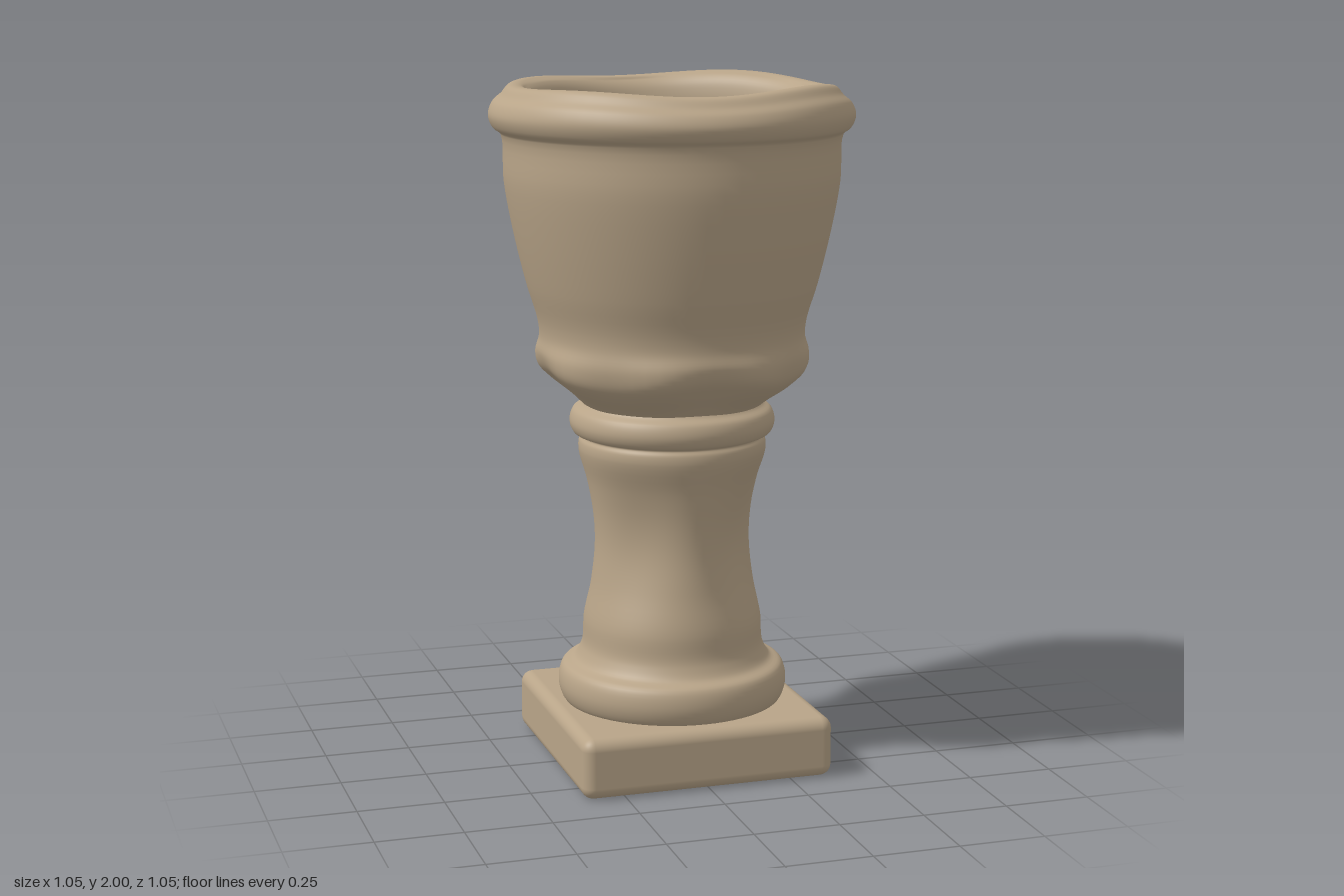
import * as THREE from 'three';
import { mergeVertices } from 'three/addons/utils/BufferGeometryUtils.js';
import { RoundedBoxGeometry } from 'three/addons/geometries/RoundedBoxGeometry.js';

const stone = new THREE.MeshStandardMaterial({ color: 0xb8a488 });
stone.name = 'sandstone';

// Smooth bump, 1 at the centre and 0 beyond the width
const bump = (y, centre, width) => {
  const t = Math.min(1, Math.abs(y - centre) / width);
  return 0.5 + 0.5 * Math.cos(Math.PI * t);
};

// Turned part with a curved profile, worn by a rule that moves each vertex
function turned(name, profile, wear, samples = 90) {
  const curve = new THREE.CatmullRomCurve3(profile.map(([r, y]) => new THREE.Vector3(r, y, 0)), false, 'centripetal');
  const points = curve.getPoints(samples).map((p) => new THREE.Vector2(Math.max(0, p.x), p.y));
  let geometry = new THREE.LatheGeometry(points, 64);
  geometry.deleteAttribute('uv');
  geometry.deleteAttribute('normal');
  geometry = mergeVertices(geometry, 1e-4);
  const pos = geometry.attributes.position;
  for (let i = 0; i < pos.count; i++) {
    const x = pos.getX(i), y = pos.getY(i), z = pos.getZ(i);
    const [scale, lift] = wear(Math.atan2(x, z), y, Math.hypot(x, z));
    pos.setXYZ(i, x * scale, y + lift, z * scale);
  }
  geometry.computeVertexNormals();
  const mesh = new THREE.Mesh(geometry, stone);
  mesh.name = name;
  return mesh;
}

// Square foot slab with softly worn sides
function makePlinth() {
  const geometry = new RoundedBoxGeometry(0.75, 0.178, 0.75, 4, 0.035);
  geometry.translate(0, 0.094, 0);
  const mesh = new THREE.Mesh(geometry, stone);
  mesh.name = 'plinth';
  return mesh;
}

export function createModel() {
  const group = new THREE.Group();
  group.name = 'pedestalUrn';
  group.add(makePlinth());

  // Column: base moulding, waisted shaft and collar
  group.add(turned('pedestalColumn', [
    [0.3, 0.165], [0.325, 0.19], [0.337, 0.235], [0.325, 0.285], [0.29, 0.305], [0.272, 0.335],
    [0.265, 0.36], [0.261, 0.43], [0.236, 0.54], [0.222, 0.65], [0.226, 0.74], [0.246, 0.84],
    [0.273, 0.93], [0.272, 0.96], [0.265, 0.975], [0.287, 0.985], [0.299, 1.015], [0.29, 1.05],
    [0.265, 1.07], [0.25, 1.1],
  ], (a, y) => [1 + 0.055 * bump(y, 0.68, 0.3) * (Math.cos(4 * a) - 0.2), 0]));

  // Bowl: bulging foot, flared wall, rolled rim and hollow inside
  group.add(turned('bowl', [
    [0.24, 1.05], [0.285, 1.09], [0.345, 1.135], [0.383, 1.175], [0.394, 1.22], [0.385, 1.27],
    [0.39, 1.32], [0.42, 1.42], [0.458, 1.58], [0.482, 1.72], [0.489, 1.85], [0.512, 1.87],
    [0.524, 1.905], [0.512, 1.94], [0.488, 1.962], [0.465, 1.987], [0.43, 1.988], [0.4, 1.965],
    [0.385, 1.92], [0.375, 1.75], [0.35, 1.55], [0.3, 1.4], [0.24, 1.33], [0.12, 1.315], [0, 1.315],
  ], (a, y, r) => {
    const foot = r > 0.24 ? bump(y, 1.16, 0.12) : 0;
    const rim = bump(y, 1.98, 0.12);
    const opening = r < 0.42 ? bump(y, 1.96, 0.3) : 0;
    return [
      1 + 0.02 * foot * Math.cos(8 * a + Math.PI) - 0.02 * opening * Math.cos(4 * a + Math.PI),
      rim * (0.007 * Math.cos(4 * a + Math.PI) + 0.004 * Math.sin(3 * a)) + 0.012 * foot * Math.cos(4 * a),
    ];
  }, 120));

  return group;
}
